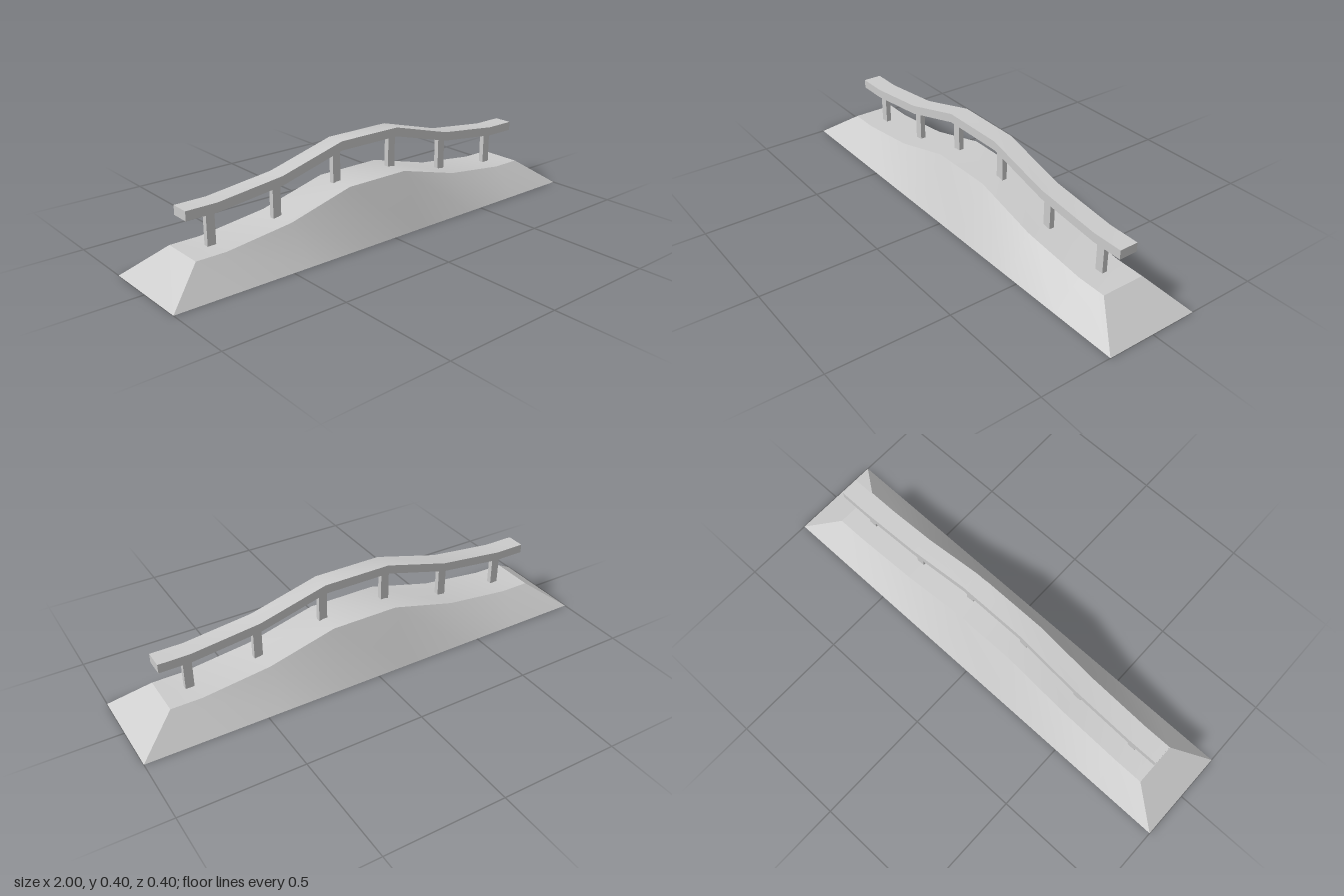
import * as THREE from 'three';
import { toCreasedNormals } from 'three/addons/utils/BufferGeometryUtils.js';

const material = new THREE.MeshStandardMaterial({ color: 0xcccccc });

// Half profiles as [x, y], mirrored to the full length
const mirror = half => [...half.map(([x, y]) => [-x, y]).reverse(), ...half];
const baseTop = mirror([[0.145, 0.222], [0.43, 0.147], [0.715, 0.113], [0.843, 0.113]]);
const railTop = mirror([[0.145, 0.395], [0.43, 0.318], [0.715, 0.285], [0.847, 0.285]]);

// Height of a profile at x
function heightAt(profile, x) {
  const i = Math.max(1, profile.findIndex(p => p[0] >= x));
  const [x0, y0] = profile[i - 1], [x1, y1] = profile[i];
  return y0 + (y1 - y0) * (x - x0) / (x1 - x0);
}

// Joins four-cornered sections along x (corners counter-clockwise seen from +x)
function loft(sections) {
  const pos = [];
  const tri = (...pts) => pts.forEach(p => pos.push(...p));
  for (let i = 0; i < sections.length - 1; i++) {
    const a = sections[i], b = sections[i + 1];
    for (let j = 0; j < 4; j++) {
      const k = (j + 1) % 4;
      tri(a[j], a[k], b[k]);
      tri(a[j], b[k], b[j]);
    }
  }
  const s = sections[0], e = sections[sections.length - 1];
  tri(s[0], s[2], s[1]);
  tri(s[0], s[3], s[2]);
  tri(e[0], e[1], e[2]);
  tri(e[0], e[2], e[3]);
  const geometry = new THREE.BufferGeometry();
  geometry.setAttribute('position', new THREE.Float32BufferAttribute(pos, 3));
  return toCreasedNormals(geometry, Math.PI / 6);
}

function section(xBottom, yBottom, zBottom, xTop, yTop, zTop) {
  return [[xBottom, yBottom, zBottom], [xBottom, yBottom, -zBottom],
    [xTop, yTop, -zTop], [xTop, yTop, zTop]];
}

export function createModel() {
  const group = new THREE.Group();
  const add = (name, geometry) => {
    const mesh = new THREE.Mesh(geometry, material);
    mesh.name = name;
    group.add(mesh);
  };

  // Sloping base, flared out to a rectangular footprint
  add('base', loft(baseTop.map(([x, y]) =>
    section(Math.abs(x) > 0.8 ? Math.sign(x) : x, 0, 0.2, x, y, 0.093))));

  // Rail following the rise of the base
  const thickness = 0.038;
  add('rail', loft(railTop.map(([x, y]) =>
    section(x + 0.005, y - thickness, 0.04, x + 0.005, y, 0.04))));

  // Six posts, cut to the slopes at both ends
  const sink = 0.004, halfWidth = 0.018;
  for (let i = 0; i < 6; i++) {
    const x = 0.0015 + (i - 2.5) * 0.2914;
    add('post' + (i + 1), loft([x - halfWidth, x + halfWidth].map(px =>
      section(px, heightAt(baseTop, px) - sink, 0.011,
        px, heightAt(railTop, px) - thickness + sink, 0.011))));
  }
  return group;
}
